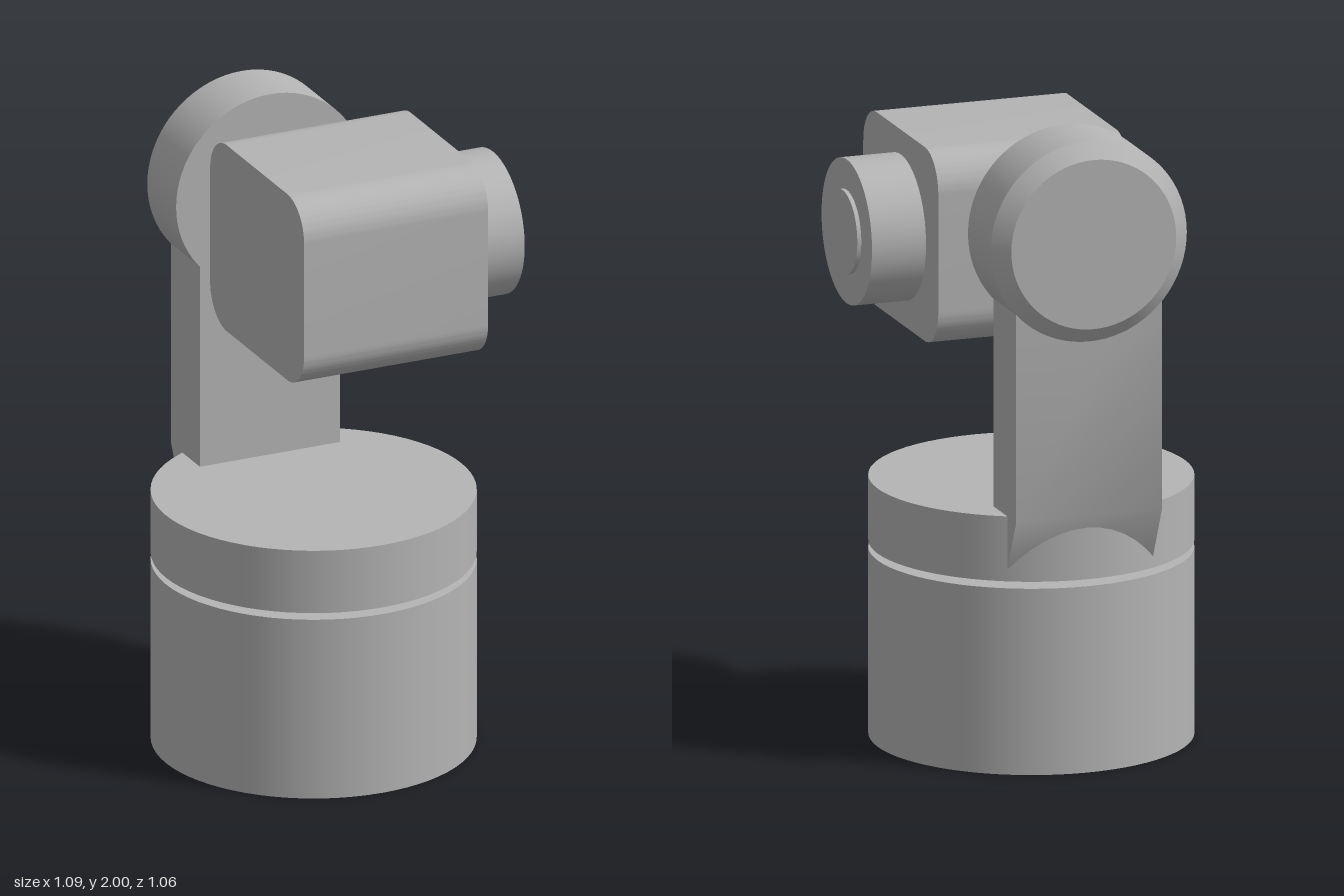
import * as THREE from 'three';
import { toCreasedNormals } from 'three/addons/utils/BufferGeometryUtils.js';

const CX = -0.047; // shared axis of base, arm and shoulder
const CZ = 0.033;

export function createModel() {
  const group = new THREE.Group();
  const grey = new THREE.MeshStandardMaterial({ color: 0xb4b4b4 });
  grey.name = 'grey';

  const add = (name, geometry) => {
    const mesh = new THREE.Mesh(geometry, grey);
    mesh.name = name;
    group.add(mesh);
  };

  // Cylinder from a to b along an axis; p and q are the other two coordinates in x, y, z order
  const disc = (name, axis, a, b, p, q, rA, rB = rA) => {
    const g = new THREE.CylinderGeometry(rB, rA, b - a, 72);
    const m = (a + b) / 2;
    if (axis === 'x') g.rotateZ(-Math.PI / 2).translate(m, p, q);
    if (axis === 'y') g.translate(p, m, q);
    if (axis === 'z') g.rotateX(Math.PI / 2).translate(p, q, m);
    add(name, g);
  };

  // Shape drawn in (-z, y), extruded along x from a to b
  const extrudeX = (name, shape, a, b) => {
    const g = new THREE.ExtrudeGeometry(shape, { depth: b - a, bevelEnabled: false, curveSegments: 12 });
    g.rotateY(Math.PI / 2).translate(a, 0, 0);
    add(name, toCreasedNormals(g, 0.5));
  };

  // Base, neck and turntable
  disc('base', 'y', 0, 0.588, CX, CZ, 0.497);
  disc('neck', 'y', 0.588, 0.61, CX, CZ, 0.1);
  disc('neckPin', 'y', 0.588, 0.61, 0.01, -0.093, 0.037);
  disc('turntable', 'y', 0.61, 0.815, CX, CZ, 0.497);

  // Upright arm with a sloped foot running into the turntable
  const arm = new THREE.Shape([
    [0.278, 0.645], [0.403, 0.645], [0.484, 0.815], [0.484, 1.683], [0.278, 1.683],
  ].map(([u, v]) => new THREE.Vector2(u, v)));
  extrudeX('arm', arm, -0.284, 0.188);

  // Shoulder drum with chamfered back
  disc('shoulder', 'z', -0.485, -0.278, CX, 1.683, 0.317);
  disc('shoulderChamfer', 'z', -0.529, -0.485, CX, 1.683, 0.267, 0.317);

  // Pivot between shoulder and head
  disc('pivot', 'z', -0.278, -0.254, CX, 1.685, 0.05);
  disc('pivotTip', 'z', -0.254, -0.245, CX, 1.685, 0.033);
  disc('headPin', 'z', -0.255, -0.24, CX, 1.58, 0.015);

  // Head: rounded block
  const head = new THREE.Shape();
  const [u0, u1, v0, v1, r] = [-0.428, 0.247, 1.313, 1.925, 0.12];
  head.moveTo(u0 + r, v0);
  head.absarc(u1 - r, v0 + r, r, -Math.PI / 2, 0);
  head.absarc(u1 - r, v1 - r, r, 0, Math.PI / 2);
  head.absarc(u0 + r, v1 - r, r, Math.PI / 2, Math.PI);
  head.absarc(u0 + r, v0 + r, r, Math.PI, Math.PI * 1.5);
  extrudeX('head', head, -0.264, 0.355);

  // Small rounded tab under the head
  const tab = new THREE.Shape();
  tab.moveTo(-0.1, 0.03);
  tab.quadraticCurveTo(-0.09, 0, -0.05, 0);
  tab.lineTo(0.05, 0);
  tab.quadraticCurveTo(0.09, 0, 0.1, 0.03);
  const tabGeometry = new THREE.ExtrudeGeometry(tab, { depth: 0.022, bevelEnabled: false });
  tabGeometry.translate(CX, 1.298, -0.102);
  add('headTab', tabGeometry);

  // Tool barrel on the side of the head
  disc('barrel', 'x', 0.355, 0.53, 1.62, 0.09, 0.227);
  disc('barrelCap', 'x', 0.53, 0.543, 1.62, 0.09, 0.131);

  return group;
}
